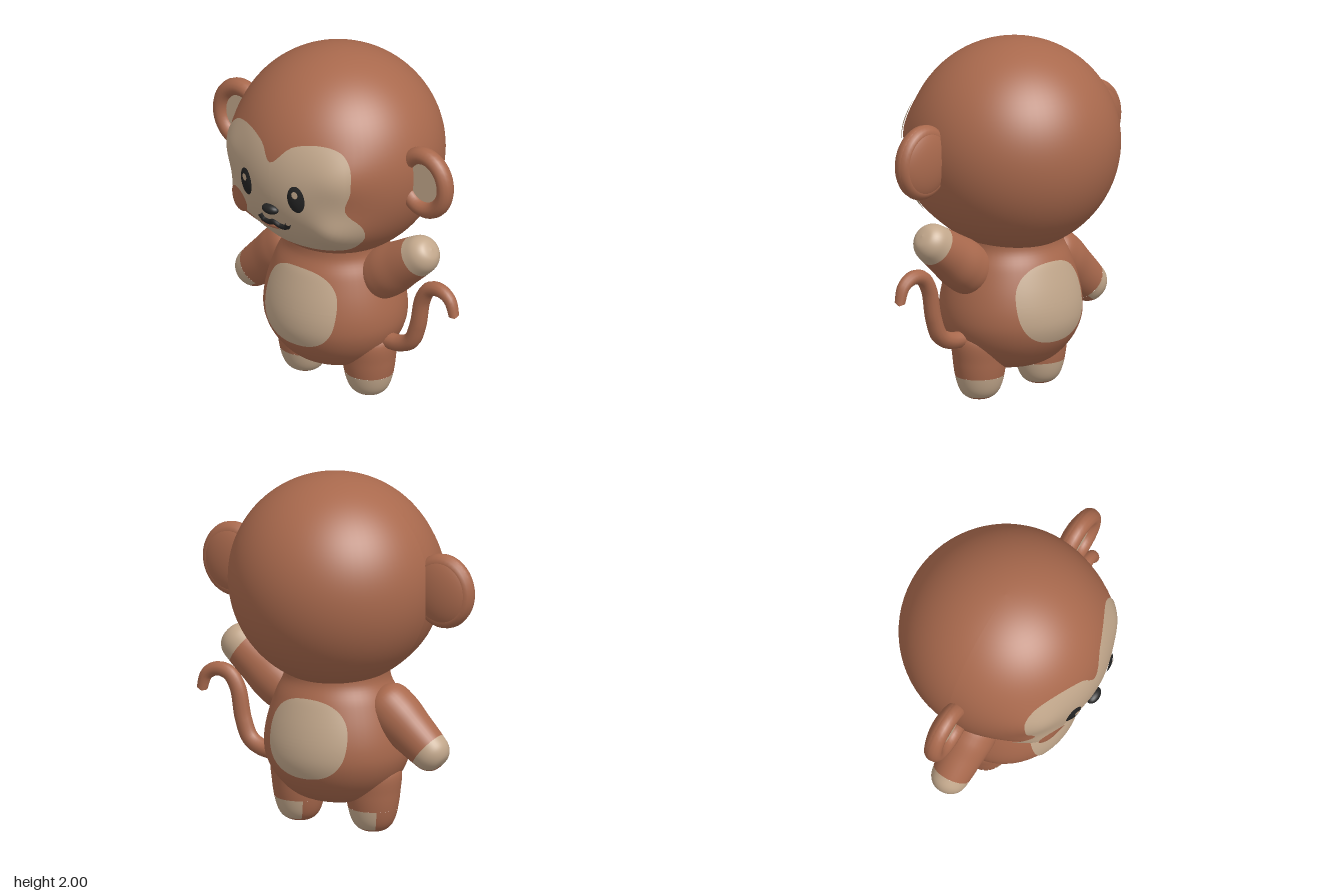
import * as THREE from 'three';

const brown = new THREE.MeshStandardMaterial({ color: 0xa9694d, name: 'brown fur' });
const cream = new THREE.MeshStandardMaterial({ color: 0xc3a88c, name: 'cream fur' });
const black = new THREE.MeshStandardMaterial({ color: 0x242424, name: 'black' });

const vec2s = (pts) => pts.map(([x, y]) => new THREE.Vector2(x, y));
const smooth = (pts, n) => new THREE.SplineCurve(vec2s(pts)).getPoints(n)
  .map((p) => new THREE.Vector2(Math.max(0, p.x), p.y));

function add(parent, name, geometry, material, x = 0, y = 0, z = 0) {
  const mesh = new THREE.Mesh(geometry, material);
  mesh.name = name;
  mesh.position.set(x, y, z);
  parent.add(mesh);
  return mesh;
}

// Head: an ellipsoid, a little deeper below, with soft bulges at the cheeks and temples
const HEAD = { x: -0.02, y: 1.42, z: -0.015, rx: 0.59, ry: 0.58, low: 0.6, rz: 0.585 };
const bulges = [[0.38, 1.09, 0.2], [0.44, 1.48, 0.08]];
const bump = (dx, dy) => Math.exp(-(dx * dx + dy * dy) / 0.018);
const swell = (x, y) => bulges.reduce(
  (sum, [bx, by, amount]) => sum + amount * bump(Math.abs(x - HEAD.x) - bx, y - by), 1);
const headZ = (lift) => (x, y) => {
  const ry = (y > HEAD.y ? HEAD.ry : HEAD.low) + lift;
  const u = (x - HEAD.x) / (HEAD.rx + lift), v = (y - HEAD.y) / ry;
  return HEAD.z + (HEAD.rz + lift) * Math.sqrt(Math.max(0, 1 - u * u - v * v)) * swell(x, y);
};

function headGeometry() {
  const g = new THREE.SphereGeometry(1, 72, 54);
  const p = g.attributes.position;
  for (let i = 0; i < p.count; i++) {
    const v = p.getY(i);
    const x = HEAD.x + HEAD.rx * p.getX(i), y = HEAD.y + (v > 0 ? HEAD.ry : HEAD.low) * v;
    const z = HEAD.rz * p.getZ(i);
    p.setXYZ(i, x, y, HEAD.z + (z > 0 ? z * swell(x, y) : z));
  }
  g.computeVertexNormals();
  return g;
}

// Body: a pear-shaped lathe, slightly flattened front to back
const BODY = { x: -0.02, z: 0.01, depth: 0.92 };
const bodyProfile = smooth([[0, 0.15], [0.15, 0.165], [0.26, 0.21], [0.35, 0.3], [0.4, 0.4],
  [0.41, 0.5], [0.39, 0.62], [0.345, 0.76], [0.3, 0.86], [0.3, 0.95]], 48);
const bodyZ = (side) => (x, y) => {
  const i = Math.max(1, bodyProfile.findIndex((p) => p.y >= y));
  const a = bodyProfile[i - 1], b = bodyProfile[i];
  const r = THREE.MathUtils.mapLinear(y, a.y, b.y, a.x, b.x) + 0.009;
  return BODY.z + side * BODY.depth * Math.sqrt(Math.max(0, r * r - (x - BODY.x) ** 2));
};

// Thin patch that fills an outline and follows a surface; dome swells its middle
function patch(outline, [cx, cy], zOf, side = 1, dome = 0) {
  const curve = new THREE.CatmullRomCurve3(outline.map(([x, y]) => new THREE.Vector3(x, y, 0)), true);
  const segs = 96, rings = 20, pos = [], idx = [];
  const rim = curve.getPoints(segs);
  for (let r = 0; r <= rings; r++) {
    for (let s = 0; s <= segs; s++) {
      const t = r / rings;
      const x = cx + t * (rim[s].x - cx), y = cy + t * (rim[s].y - cy);
      pos.push(x, y, zOf(x, y) + side * dome * (1 - t * t));
      if (r === rings || s === segs) continue;
      const a = r * (segs + 1) + s, b = a + segs + 1;
      if (side > 0) idx.push(a, b, b + 1, a, b + 1, a + 1);
      else idx.push(a, b + 1, b, a, a + 1, b + 1);
    }
  }
  const g = new THREE.BufferGeometry();
  g.setAttribute('position', new THREE.Float32BufferAttribute(pos, 3));
  g.setIndex(idx);
  g.computeVertexNormals();
  return g;
}

// Rounded-square outline, counter-clockwise
function oval(cx, cy, rx, ry, power = 1) {
  return Array.from({ length: 16 }, (_, i) => {
    const a = (i / 16) * Math.PI * 2, c = Math.cos(a), s = Math.sin(a);
    return [cx + rx * Math.sign(c) * Math.abs(c) ** power, cy + ry * Math.sign(s) * Math.abs(s) ** power];
  });
}

// Limb: lathe growing from its tip, with a cream paw around part of the circumference
function limb(name, profile, sole, cuff, start, sweep) {
  const group = new THREE.Group();
  group.name = name;
  const pts = smooth(profile, 48);
  const cut = (y) => pts.findIndex((p) => p.y >= y);
  const s = cut(sole), c = cut(cuff);
  add(group, 'limbFur', new THREE.LatheGeometry(pts.slice(c), 36), brown);
  if (s > 0) add(group, 'sole', new THREE.LatheGeometry(pts.slice(0, s + 1), 36), brown);
  const paw = pts.slice(s, c + 1), full = Math.PI * 2;
  add(group, 'paw', new THREE.LatheGeometry(paw, 36, start, sweep), cream);
  if (sweep < full) add(group, 'pawFur', new THREE.LatheGeometry(paw, 18, start + sweep, full - sweep), brown);
  return group;
}

export function createModel() {
  const model = new THREE.Group();
  model.name = 'monkey';

  add(model, 'head', headGeometry(), brown);
  add(model, 'body', new THREE.LatheGeometry(bodyProfile, 56), brown, BODY.x, 0, BODY.z).scale.z = BODY.depth;

  // Heart-topped face and the fur spot on one cheek
  const face = [[-0.02, 1.53], [-0.1, 1.62], [-0.24, 1.66], [-0.38, 1.63], [-0.46, 1.54], [-0.465, 1.41],
    [-0.41, 1.28], [-0.46, 1.2], [-0.47, 1.155], [-0.35, 1.17], [-0.24, 1.11], [-0.18, 1.05], [-0.08, 1.0],
    [0.05, 0.98], [0.2, 0.975], [0.33, 1.01], [0.42, 1.1], [0.435, 1.19], [0.39, 1.3], [0.425, 1.42],
    [0.415, 1.55], [0.35, 1.64], [0.24, 1.67], [0.1, 1.64]];
  add(model, 'face', patch(face, [-0.01, 1.33], headZ(0.008)), cream);
  add(model, 'cheekSpot', patch(oval(-0.315, 1.185, 0.08, 0.078), [-0.315, 1.185], headZ(0.013)), brown);

  // Eyes with small highlights
  for (const [side, x] of [['right', -0.205], ['left', 0.155]]) {
    add(model, side + 'Eye', patch(oval(x, 1.35, 0.05, 0.083), [x, 1.35], headZ(0.012), 1, 0.012), black);
    add(model, side + 'EyeHighlight', patch(oval(x + 0.005, 1.385, 0.018, 0.022), [x, 1.385], headZ(0.026)), cream);
  }

  // Nose, mouth and lip
  add(model, 'nose', new THREE.SphereGeometry(1, 20, 14), black, -0.02, 1.245, 0.56).scale.set(0.054, 0.029, 0.035);
  const line = (pts, radius) => {
    const path = pts.map(([x, y]) => new THREE.Vector3(x, y, headZ(0.009)(x, y)));
    return new THREE.TubeGeometry(new THREE.CatmullRomCurve3(path), 40, radius, 8);
  };
  add(model, 'mouth', line([[-0.128, 1.172], [-0.11, 1.14], [-0.065, 1.134], [-0.027, 1.15], [0.012, 1.134],
    [0.055, 1.14], [0.075, 1.172]], 0.018), black);
  add(model, 'lip', line([[-0.135, 1.122], [-0.08, 1.106], [0, 1.115]], 0.013), brown);

  // Ears: thick rim, smooth domed back and recessed cream inside
  for (const [side, x] of [['right', -0.68], ['left', 0.643]]) {
    const ear = new THREE.Group();
    ear.name = side + 'Ear';
    ear.position.set(x, 1.418, 0.03);
    ear.scale.set(0.95, 1.05, 1);
    add(ear, 'earRim', new THREE.TorusGeometry(0.153, 0.047, 14, 40), brown).scale.z = 1.1;
    const back = add(ear, 'earBack', new THREE.SphereGeometry(0.201, 36, 12, 0, Math.PI * 2, 0, Math.PI / 2), brown);
    back.rotation.x = -Math.PI / 2;
    back.scale.y = 0.41;
    add(ear, 'earInside', new THREE.CircleGeometry(0.15, 32), cream, 0, 0, 0.01);
    model.add(ear);
  }

  // Belly and back patches
  add(model, 'bellyPatch', patch(oval(-0.013, 0.575, 0.248, 0.225, 0.8), [-0.013, 0.575], bodyZ(1)), cream);
  add(model, 'backPatch', patch(oval(-0.013, 0.567, 0.245, 0.222, 0.85), [-0.013, 0.567], bodyZ(-1), -1), cream);

  // Legs
  const legProfile = [[0, 0], [0.06, 0.006], [0.106, 0.04], [0.135, 0.11], [0.153, 0.22], [0.157, 0.35], [0.08, 0.43]];
  for (const [side, x] of [['right', -0.245], ['left', 0.22]]) {
    const leg = limb(side + 'Leg', legProfile, 0.016, 0.125, -0.63, 4.4);
    leg.position.set(x, 0, 0.01);
    leg.scale.z = 0.93;
    model.add(leg);
  }

  // Arms: right one hangs, left one is raised; both widen into the shoulder
  const armProfile = [[0, 0], [0.06, 0.012], [0.1, 0.055], [0.115, 0.125], [0.13, 0.25], [0.145, 0.38], [0.125, 0.5], [0, 0.58]];
  const arms = [['rightArm', [-0.685, 0.435], [0.765, 0.645], 0.115, 2.27, 4.89],
    ['leftArm', [0.67, 1.01], [-0.81, -0.585], 0.125, 0, Math.PI * 2]];
  for (const [name, tip, dir, cuff, start, sweep] of arms) {
    const arm = limb(name, armProfile, 0, cuff, start, sweep);
    arm.position.set(tip[0], tip[1], 0.005);
    arm.rotation.z = Math.atan2(-dir[0], dir[1]);
    arm.scale.z = 0.95;
    model.add(arm);
  }

  // Tail: tapered tube hooked at the end, its last ring closed to a point
  const path = new THREE.CatmullRomCurve3([[0.3, 0.36], [0.45, 0.37], [0.53, 0.415], [0.575, 0.52], [0.61, 0.69],
    [0.66, 0.765], [0.735, 0.783], [0.805, 0.745], [0.84, 0.64]].map(([x, y]) => new THREE.Vector3(x, y, 0.012)));
  const n = 48, sides = 12;
  const tail = new THREE.TubeGeometry(path, n, 0.047, sides);
  const p = tail.attributes.position;
  for (let i = 0; i < p.count; i++) {
    const ring = Math.floor(i / (sides + 1));
    const c = path.getPointAt(ring / n);
    const k = ring === n ? 0 : 1 - 0.4 * (ring / n) ** 4;
    p.setXYZ(i, c.x + k * (p.getX(i) - c.x), c.y + k * (p.getY(i) - c.y), c.z + k * (p.getZ(i) - c.z));
  }
  add(model, 'tail', tail, brown);

  return model;
}
